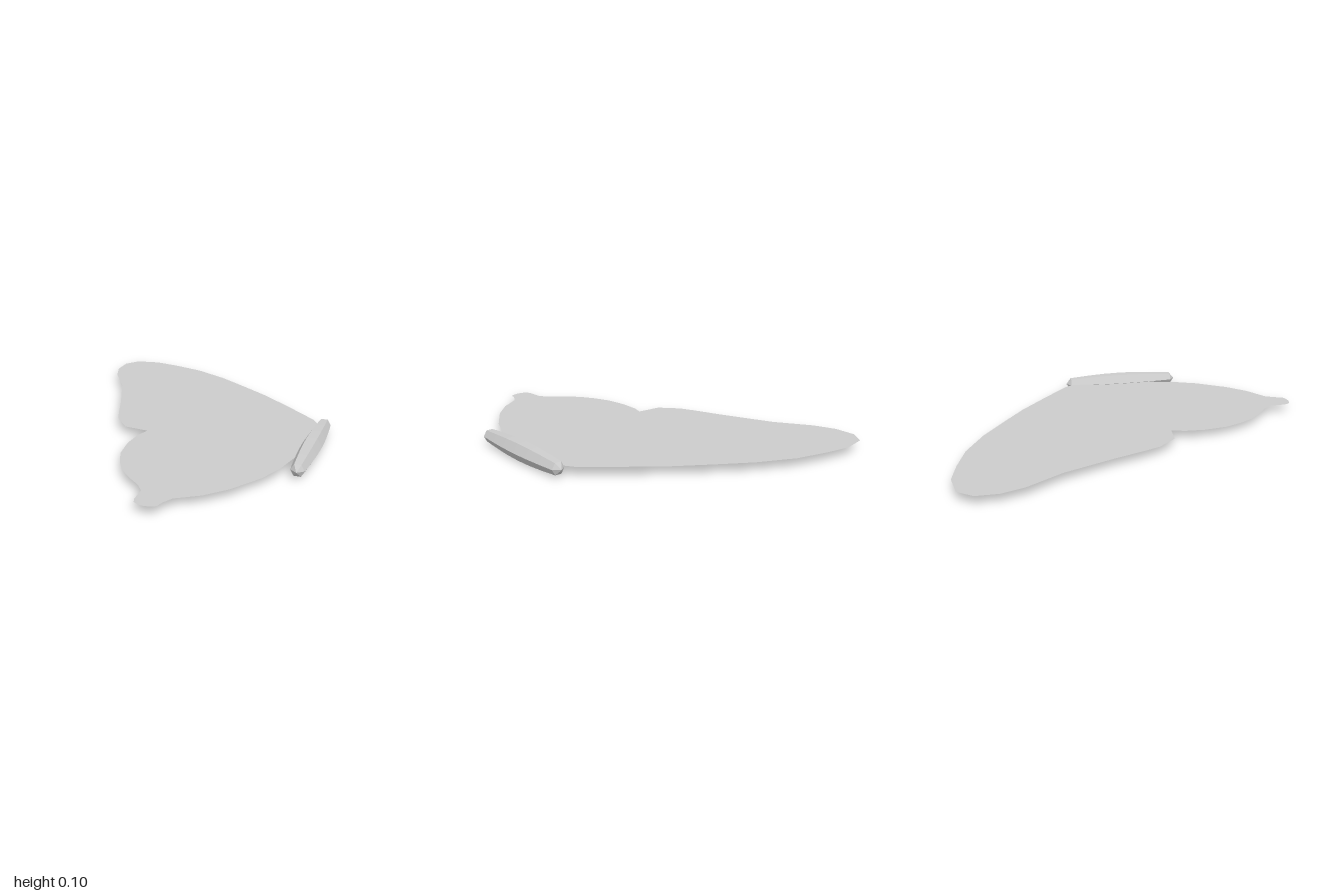
import * as THREE from 'three';

const grey = new THREE.MeshStandardMaterial({ color: 0xcccccc, flatShading: true });
const wingGrey = new THREE.MeshStandardMaterial({ color: 0xcccccc, side: THREE.DoubleSide });

// Flat wing lying in the xz plane, outlined by [x, z] points
function makeWing(name, outline, y) {
  const shape = new THREE.Shape(outline.map(([x, z]) => new THREE.Vector2(x, -z)));
  const wing = new THREE.Mesh(new THREE.ShapeGeometry(shape).rotateX(-Math.PI / 2), wingGrey);
  wing.name = name;
  wing.position.y = y;
  return wing;
}

// Six-sided spindle with pointed ends, running along z
function makeBody() {
  const profile = [new THREE.Vector2(0, -0.355)];
  const rings = 6;
  for (let i = 0; i <= rings; i++) {
    const t = i / rings;
    profile.push(new THREE.Vector2(0.037 + 0.018 * Math.sin(Math.PI * t), -0.325 + 0.65 * t));
  }
  profile.push(new THREE.Vector2(0, 0.355));
  const geometry = new THREE.LatheGeometry(profile, 6, Math.PI / 2).rotateX(Math.PI / 2);
  const body = new THREE.Mesh(geometry, grey);
  body.name = 'body';
  body.position.set(0.732, 0.048, 0.065);
  return body;
}

export function createModel() {
  const model = new THREE.Group();
  model.name = 'butterflyHalf';

  // Forewing: root, leading edge, rounded tip, outer edge, trailing edge
  const forewing = [
    [0.72, -0.2], [0.69, -0.26], [0.66, -0.305], [0.5, -0.44], [0.3, -0.6], [0.12, -0.72],
    [-0.06, -0.835], [-0.26, -0.93], [-0.44, -0.975], [-0.59, -1], [-0.73, -0.975],
    [-0.79, -0.895], [-0.79, -0.775], [-0.745, -0.655], [-0.62, -0.465], [-0.5, -0.19],
    [-0.43, -0.01], [-0.395, 0.07], [-0.305, 0.17], [-0.15, 0.185], [0.06, 0.145],
    [0.31, 0.06], [0.53, -0.04], [0.68, -0.14],
  ];
  // Hindwing: root, hidden front edge, outer edge, short tail, inner edge
  const hindwing = [
    [0.71, -0.17], [0.67, -0.215], [0.53, -0.2], [0.39, -0.17], [0.25, -0.12], [0.12, -0.06],
    [-0.08, 0.055], [-0.165, 0.15], [-0.195, 0.26], [-0.2, 0.37], [-0.18, 0.5], [-0.14, 0.595],
    [-0.09, 0.68], [-0.02, 0.75], [0.055, 0.81], [0.095, 0.86], [0.1, 0.95], [0.11, 0.98],
    [0.135, 0.995], [0.165, 1], [0.2, 0.995], [0.225, 0.98], [0.235, 0.94], [0.265, 0.885],
    [0.38, 0.81], [0.48, 0.705], [0.59, 0.535], [0.645, 0.4], [0.68, 0.25], [0.705, 0.05],
  ];
  model.add(
    makeBody(),
    makeWing('forewing', forewing, 0.051),
    makeWing('hindwing', hindwing, 0.046),
  );
  return model;
}
